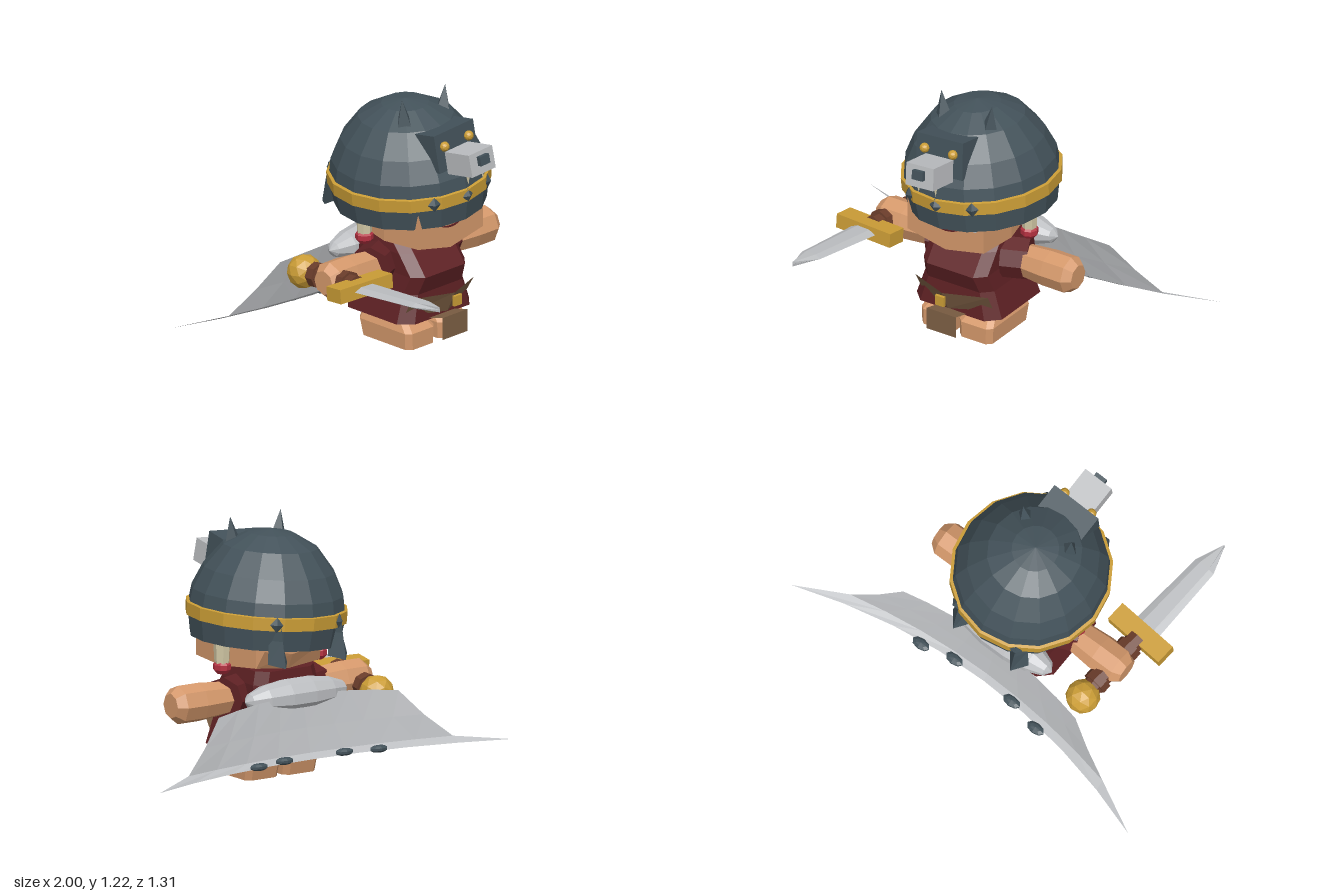
import * as THREE from 'three';

const mat = (name, color) => new THREE.MeshStandardMaterial({ name, color, flatShading: true, side: THREE.DoubleSide });
const M = {
  slate: mat('slate', 0x43525a), gold: mat('gold', 0xcb9d36), skin: mat('skin', 0xd4986b),
  tunic: mat('tunic red', 0x5f2124), bead: mat('bead red', 0xb53141), steel: mat('steel', 0xbcbec1),
  bone: mat('bone', 0xd3c9a6), leather: mat('leather', 0x7d5f44), grip: mat('grip brown', 0x6b3d2b),
};

function add(parent, name, geometry, material, pos = [0, 0, 0], rot = [0, 0, 0], scale = [1, 1, 1]) {
  const m = new THREE.Mesh(geometry, material);
  m.name = name;
  m.position.set(...pos);
  m.rotation.set(...rot);
  m.scale.set(...scale);
  parent.add(m);
  return m;
}

// Skin a list of equal-sized rings; closed rings also get end caps
function loft(rings, closed = true) {
  const n = rings[0].length, index = [];
  const last = (rings.length - 1) * n;
  for (let r = 0; r < rings.length - 1; r++)
    for (let i = 0; i < (closed ? n : n - 1); i++) {
      const a = r * n + i, b = r * n + (i + 1) % n;
      index.push(a, b, b + n, a, b + n, a + n);
    }
  if (closed) for (let i = 1; i < n - 1; i++) index.push(0, i + 1, i, last, last + i, last + i + 1);
  const g = new THREE.BufferGeometry();
  g.setAttribute('position', new THREE.Float32BufferAttribute(rings.flat(2), 3));
  g.setIndex(index);
  g.computeVertexNormals();
  return g;
}

// Horizontal rectangle with cut corners
const octagon = (y, hx, zf, zb, c) => [
  [hx, y, zb + c], [hx - c, y, zb], [-hx + c, y, zb], [-hx, y, zb + c],
  [-hx, y, zf - c], [-hx + c, y, zf], [hx - c, y, zf], [hx, y, zf - c]];

const lathe = (pts) => new THREE.LatheGeometry(pts.map(p => new THREE.Vector2(...p)), 16);
const box = (x, y, z) => new THREE.BoxGeometry(x, y, z);

function buildHelmet(root) {
  // Tilted slightly to one side around the head centre
  const tilt = new THREE.Group();
  tilt.name = 'helmet';
  tilt.position.set(0, 0.8, -0.1);
  tilt.rotation.z = 0.07;
  const h = new THREE.Group();
  h.name = 'helmetParts';
  h.position.set(0.01, -0.8, 0.1);
  tilt.add(h);
  root.add(tilt);

  add(h, 'helmetDome', lathe([[0.365, 0.645], [0.385, 0.77], [0.37, 0.87], [0.32, 0.975], [0.23, 1.085],
    [0.115, 1.145], [0, 1.165]]), M.slate, [0, 0, -0.1], [0, 0, 0], [0.96, 1, 1]);
  add(h, 'helmetBand', lathe([[0.37, 0.743], [0.391, 0.745], [0.393, 0.805], [0.37, 0.81]]), M.gold,
    [0, 0, -0.1], [0, 0, 0], [0.965, 1, 1]);
  for (const deg of [0, 28, -28, 152, -152]) {
    const a = deg * Math.PI / 180;
    add(h, 'bandStud', new THREE.OctahedronGeometry(0.036), M.slate,
      [Math.sin(a) * 0.376, 0.775, -0.1 + Math.cos(a) * 0.388], [0, a, 0], [0.9, 1, 0.5]);
  }

  // Beast head crest
  add(h, 'beastHead', loft([
    [[-0.13, 0.915, 0.1], [0.13, 0.915, 0.1], [0.13, 1.075, 0.07], [-0.13, 1.075, 0.07]],
    [[-0.13, 0.915, 0.24], [0.13, 0.915, 0.24], [0.13, 1.1, 0.215], [-0.13, 1.1, 0.215]]]), M.slate);
  add(h, 'beastSnout', box(0.155, 0.11, 0.165), M.steel, [0, 0.965, 0.315], [-0.16, 0, 0]);
  add(h, 'beastNose', box(0.06, 0.045, 0.03), M.slate, [0, 0.99, 0.402], [-0.16, 0, 0]);
  for (const s of [-1, 1]) {
    add(h, 'beastEye', new THREE.IcosahedronGeometry(0.024, 1), M.gold, [s * 0.08, 1.037, 0.232]);
    add(h, 'beastFang', new THREE.ConeGeometry(0.014, 0.06, 4), M.bone, [s * 0.048, 0.89, 0.345], [Math.PI, 0, 0]);
  }

  // Ears on top and claws hanging behind
  for (const s of [-1, 1]) {
    add(root, 'helmetEar', new THREE.ConeGeometry(0.048, 0.14, 4), M.slate, [s * 0.135, 1.15, 0.008], [0, 0, -s * 0.12]);
    const x = s * 0.17;
    add(root, 'neckClaw', loft([
      [[x + 0.055, 0.6, -0.42], [x, 0.585, -0.49], [x - 0.055, 0.6, -0.42]],
      [[x + 0.035, 0.71, -0.4], [x, 0.71, -0.465], [x - 0.035, 0.71, -0.4]],
      [[x + 0.004, 0.79, -0.42], [x, 0.79, -0.45], [x - 0.004, 0.79, -0.42]]]), M.slate);
  }
}

function buildHead(root) {
  const ring = (z, hx, chin, jaw) => [[0, chin, z], [hx, jaw, z], [hx, 0.8, z], [-hx, 0.8, z], [-hx, jaw, z]];
  add(root, 'head', loft([ring(-0.3, 0.16, 0.6, 0.63), ring(-0.26, 0.18, 0.525, 0.545),
    ring(-0.03, 0.225, 0.485, 0.525), ring(0.185, 0.215, 0.49, 0.535)]), M.skin);

  const smile = new THREE.Shape();
  smile.moveTo(-0.075, 0.615);
  smile.quadraticCurveTo(0, 0.572, 0.075, 0.615);
  smile.quadraticCurveTo(0, 0.588, -0.075, 0.615);
  add(root, 'mouth', new THREE.ExtrudeGeometry(smile, { depth: 0.006, bevelEnabled: false, curveSegments: 6 }),
    M.tunic, [0, 0, 0.185]);

  for (const s of [-1, 1]) {
    add(root, 'eye', box(0.06, 0.05, 0.006), M.steel, [s * 0.145, 0.66, 0.187]);
    add(root, 'hairLock', new THREE.CylinderGeometry(0.045, 0.035, 0.17, 7), M.bone, [s * 0.272, 0.635, -0.112]);
    add(root, 'hairBead', new THREE.SphereGeometry(0.045, 8, 5), M.bead, [s * 0.272, 0.54, -0.112], [0, 0, 0], [1, 0.85, 1]);
  }
}

function buildBody(root) {
  add(root, 'tunic', loft([octagon(0.135, 0.24, 0.13, -0.31, 0.06), octagon(0.27, 0.195, 0.115, -0.285, 0.05),
    octagon(0.36, 0.18, 0.15, -0.29, 0.05), octagon(0.46, 0.18, 0.075, -0.285, 0.05),
    octagon(0.525, 0.165, 0, -0.28, 0.05)]), M.tunic);

  for (const s of [-1, 1]) {
    add(root, 'sleeve', new THREE.CylinderGeometry(0.105, 0.105, 0.13, 8), M.tunic, [s * 0.21, 0.385, -0.1], [0, Math.PI / 8, Math.PI / 2]);
    // Arm with a rounded-off fist end
    add(root, 'arm', lathe8([[0, 0.2], [0.075, 0.2], [0.092, 0.4], [0.092, 0.515], [0.06, 0.555], [0, 0.555]]),
      M.skin, [0, 0.385, -0.1], [0, 0, -s * Math.PI / 2]);
    add(root, 'leg', new THREE.CylinderGeometry(0.07, 0.07, 0.1, 8), M.skin, [s * 0.1, 0.135, -0.11]);
    add(root, 'foot', loft([octagon(0, 0.092, 0.11, -0.215, 0.025), octagon(0.08, 0.095, 0.11, -0.235, 0.025),
      octagon(0.122, 0.075, 0.06, -0.23, 0.025)]), M.skin, [s * 0.107, 0, 0]);
  }

  // Pointed belt front, buckle and hanging flap
  add(root, 'belt', loft([
    [[-0.2, 0.17, 0.08], [0, 0.165, 0.165], [0.2, 0.175, 0.08]],
    [[-0.205, 0.27, 0.135], [0, 0.27, 0.215], [0.205, 0.27, 0.135]]], false), M.leather);
  add(root, 'buckle', box(0.05, 0.05, 0.015), M.gold, [0, 0.237, 0.23]);
  add(root, 'flap', loft([
    [[-0.085, 0.055, 0.217], [0.08, 0.055, 0.217]],
    [[-0.085, 0.165, 0.217], [0.08, 0.165, 0.217]],
    [[-0.085, 0.14, 0.12], [0.08, 0.14, 0.12]]], false), M.leather);
}

function lathe8(pts) {
  return new THREE.LatheGeometry(pts.map(p => new THREE.Vector2(...p)), 8);
}

function buildCape(root) {
  // Each row: half width, height at centre and edge, depth at centre and edge
  const rows = [[1, 0.13, 0.13, -0.475, -0.655], [0.75, 0.155, 0.155, -0.445, -0.53],
    [0.62, 0.27, 0.265, -0.415, -0.48], [0.51, 0.42, 0.385, -0.38, -0.43]];
  add(root, 'cape', loft(rows.map(([hw, yc, ye, zc, ze]) =>
    Array.from({ length: 9 }, (_, i) => {
      const u = 1 - i / 4, k = u * u;
      return [u * hw, yc + (ye - yc) * k, zc + (ze - zc) * k];
    })), false), M.steel);
  add(root, 'capeRoll', new THREE.SphereGeometry(1, 10, 7), M.steel, [0, 0.41, -0.325], [0, 0, Math.PI / 2], [0.085, 0.29, 0.092]);
  for (const s of [-1, 1])
    for (const [x, z] of [[0.34, -0.515], [0.17, -0.478]])
      add(root, 'capeStud', new THREE.SphereGeometry(1, 8, 5), M.slate, [s * x, 0.143, z], [0, 0, 0], [0.05, 0.018, 0.028]);
}

function buildSword(root) {
  // Built along +z, then aimed forward and slightly up
  const g = new THREE.Group();
  g.name = 'sword';
  g.position.set(-0.465, 0.36, -0.315);
  g.rotation.set(-0.1, -0.082, 0);
  root.add(g);
  add(g, 'pommel', new THREE.IcosahedronGeometry(0.083, 1), M.gold);
  add(g, 'grip', new THREE.CylinderGeometry(0.05, 0.05, 0.36, 8), M.grip, [0, 0, 0.2], [Math.PI / 2, 0, 0]);
  for (const z of [0.1, 0.31])
    add(g, 'gripRing', new THREE.CylinderGeometry(0.062, 0.062, 0.045, 8), M.grip, [0, 0, z], [Math.PI / 2, 0, 0]);
  add(g, 'guard', box(0.32, 0.07, 0.1), M.gold, [0, 0, 0.4], [0, 0, 0]);
  const blade = (z, w, t) => [[w, 0, z], [w * 0.5, t, z], [-w * 0.5, t, z], [-w, 0, z], [-w * 0.5, -t, z], [w * 0.5, -t, z]];
  add(g, 'blade', loft([blade(0.42, 0.072, 0.017), blade(0.84, 0.056, 0.015), blade(0.977, 0.002, 0.012)]), M.steel);
}

export function createModel() {
  const root = new THREE.Group();
  root.name = 'warrior';
  buildHelmet(root);
  buildHead(root);
  buildBody(root);
  buildCape(root);
  buildSword(root);
  return root;
}
